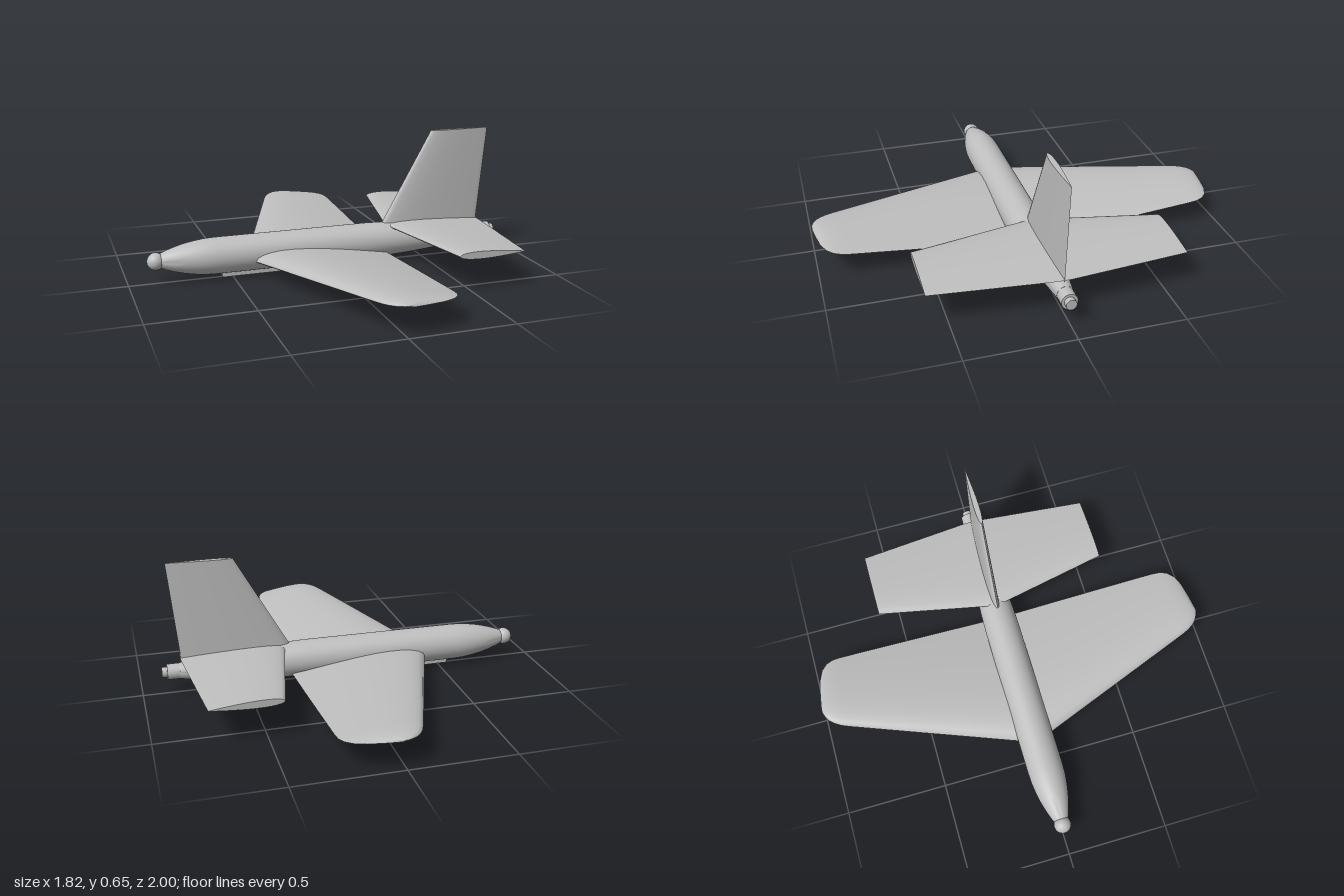
import * as THREE from 'three';
import { toCreasedNormals } from 'three/addons/utils/BufferGeometryUtils.js';

const grey = new THREE.MeshStandardMaterial({ color: 0xbfbfbf });
grey.name = 'plain grey';

// Airfoil outline from trailing edge over the top to the nose and back below;
// f is 0..1 along the half thickness, side is +1 above and -1 below.
const N = 14;
const airfoil = [];
const bulge = (u) =>
  (1.4845 * Math.sqrt(u) - 0.63 * u - 1.758 * u * u + 1.4215 * u ** 3 - 0.5075 * u ** 4) / 0.5;
for (let i = 0; i <= 2 * N - 1; i++) {
  const u = (1 + Math.cos((i / N) * Math.PI)) / 2;
  airfoil.push({ u, f: bulge(u), side: i <= N ? 1 : -1 });
}

// Lofts airfoil sections [span, leadX, trailX, leadY, trailY, thickness] along z.
function loftAirfoils(sections, upperShare) {
  const pos = [];
  const index = [];
  const n = airfoil.length;
  for (const [s, x0, x1, y0, y1, t] of sections) {
    for (const { u, f, side } of airfoil) {
      const share = side > 0 ? upperShare : 1 - upperShare;
      pos.push(x0 + (x1 - x0) * u, y0 + (y1 - y0) * u + side * share * t * f, s);
    }
  }
  for (let i = 0; i < sections.length - 1; i++) {
    for (let j = 0; j < n; j++) {
      const a = i * n + j, b = i * n + ((j + 1) % n);
      index.push(a, b, b + n, a, b + n, a + n);
    }
  }
  const last = (sections.length - 1) * n;
  for (let j = 1; j < n - 1; j++) {
    index.push(0, j + 1, j, last, last + j, last + j + 1);
  }
  const geo = new THREE.BufferGeometry();
  geo.setAttribute('position', new THREE.Float32BufferAttribute(pos, 3));
  geo.setIndex(index);
  return toCreasedNormals(geo, 0.7);
}

// Repeats one side's sections on the opposite side
const mirrored = (half) => [
  ...half.slice().reverse().map(([s, ...rest]) => [-s, ...rest]),
  ...half,
];

export function createModel() {
  const model = new THREE.Group();
  const axisY = 0.11;
  const add = (name, geo, x = 0, y = 0, z = 0) => {
    const mesh = new THREE.Mesh(geo, grey);
    mesh.name = name;
    mesh.position.set(x, y, z);
    model.add(mesh);
    return mesh;
  };

  // Fuselage: round body pointing along -x, [x, radius]
  const profile = [
    [-0.845, 0], [-0.845, 0.036], [-0.82, 0.046], [-0.78, 0.059], [-0.73, 0.072],
    [-0.68, 0.081], [-0.63, 0.087], [-0.58, 0.089], [-0.2, 0.089], [0.2, 0.089],
    [0.3, 0.086], [0.42, 0.08], [0.55, 0.07], [0.68, 0.057], [0.82, 0.039], [0.82, 0],
  ].map(([x, r]) => new THREE.Vector2(r, x));
  const body = toCreasedNormals(new THREE.LatheGeometry(profile, 40), 0.6);
  add('fuselage', body.rotateZ(-Math.PI / 2), 0, axisY);

  // Nose ball and tail nozzle
  add('noseBall', new THREE.SphereGeometry(0.042, 32, 20), -0.868, axisY);
  const rod = (r, len) => new THREE.CylinderGeometry(r, r, len, 32).rotateZ(Math.PI / 2);
  add('tailCollar', rod(0.038, 0.08), 0.84, axisY);
  add('tailNozzle', rod(0.025, 0.05), 0.88, axisY);

  // Belly skid
  add('bellySkid', new THREE.BoxGeometry(0.51, 0.03, 0.026), -0.297, 0.015);

  // Main wing: swept leading edge, dihedral and rounded tips, [z, leadX, trailX, thickness]
  const wing = [
    [0, -0.433, 0.282, 0.074], [0.09, -0.4, 0.281, 0.072], [0.3, -0.322, 0.279, 0.063],
    [0.6, -0.211, 0.275, 0.049], [0.85, -0.118, 0.271, 0.038], [0.89, -0.103, 0.267, 0.036],
    [0.925, -0.088, 0.253, 0.033], [0.955, -0.069, 0.222, 0.028], [0.977, -0.048, 0.17, 0.022],
    [0.992, -0.022, 0.09, 0.014], [1, 0, 0.03, 0.004],
  ].map(([z, x0, x1, t]) => [z, x0, x1, 0.08 + 0.06 * z, 0.052 + 0.083 * z, t]);
  // The centre section appears only once
  add('mainWing', loftAirfoils([...mirrored(wing.slice(1)).slice(0, 10), wing[0], ...wing.slice(1)], 0.72));

  // Tailplane with flat tips
  const tail = [
    [0.03, 0.307, 0.813, 0.182, 0.174, 0.04],
    [0.6, 0.425, 0.76, 0.182, 0.176, 0.036],
  ];
  add('tailplane', loftAirfoils(mirrored(tail), 0.5));

  // Upright fin, lofted along z and turned to stand up
  const fin = [
    [0.165, 0.262, 0.809, 0, 0, 0.045],
    [0.655, 0.54, 0.856, 0, 0, 0.028],
  ];
  add('tailFin', loftAirfoils(fin, 0.5).rotateX(-Math.PI / 2));

  return model;
}
